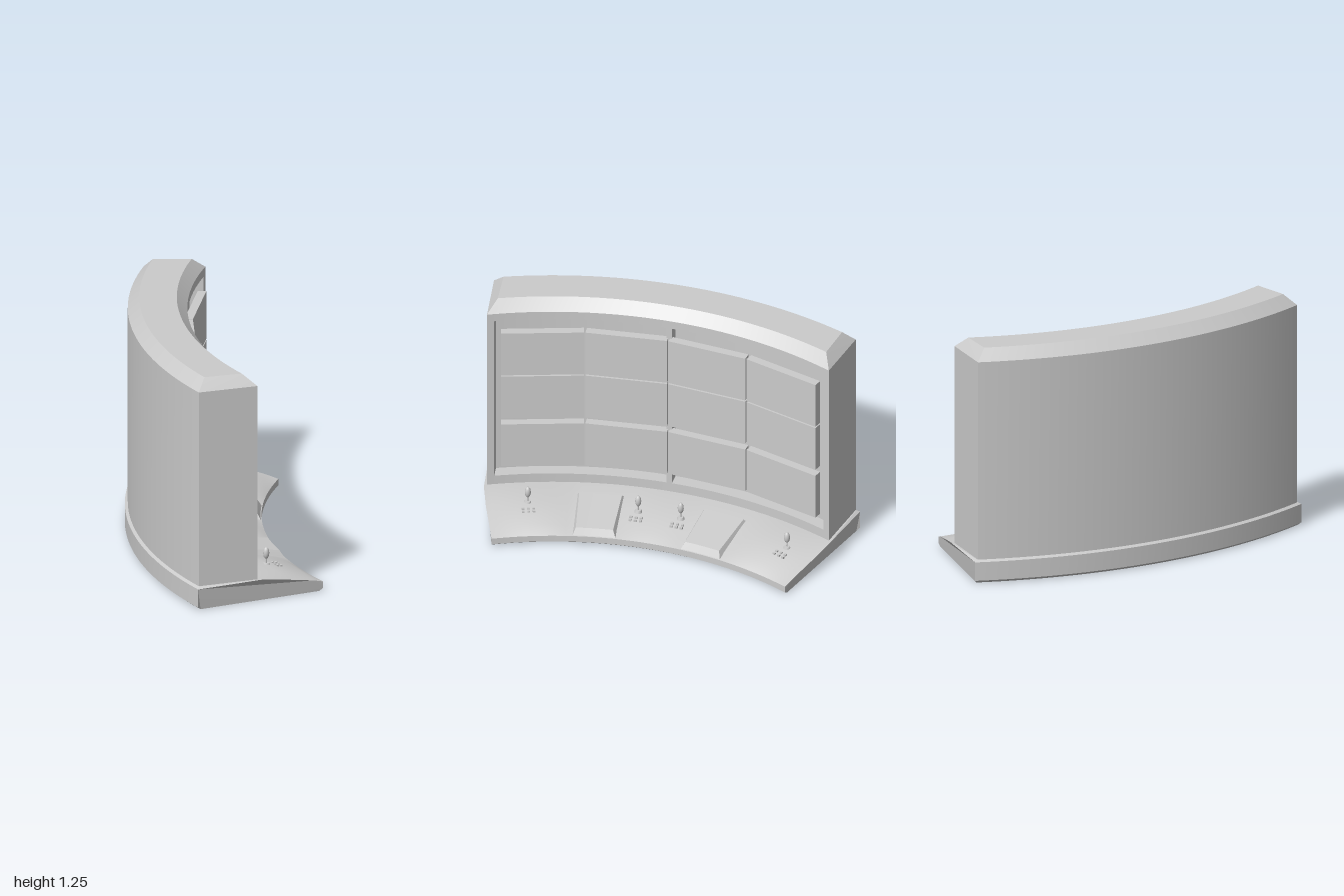
import * as THREE from 'three';
import { toCreasedNormals } from 'three/addons/utils/BufferGeometryUtils.js';

const CX = 2.04; // x of the shared arc centre
const RAD = Math.PI / 180;
const grey = new THREE.MeshStandardMaterial({ color: 0xcccccc });

// Point at radius r and angle a (radians) around the arc centre
const polar = (r, a, y) => [CX - r * Math.cos(a), y, r * Math.sin(a)];

// Swell of the desk top: one hump per end section, a lower one in the middle
function swell(u) {
  const t = Math.abs(u);
  if (t < 0.2) return 0.5 * Math.cos((t / 0.2) * Math.PI / 2);
  return t > 0.5 ? Math.sin(Math.PI * (t - 0.5) / 0.5) : 0;
}

// Sweeps a counter-clockwise profile of [r, y, halfAngle, swellHeight] along the arc
function sweep(profile, u0, u1, n, centre = 0) {
  const pos = [], idx = [], m = profile.length;
  for (let j = 0; j <= n; j++) {
    const u = u0 + (u1 - u0) * j / n;
    for (const [r, y, a, h = 0] of profile) pos.push(...polar(r, (centre + a * u) * RAD, y + h * swell(u)));
  }
  for (let j = 0; j < n; j++) {
    for (let i = 0; i < m; i++) {
      const k = (i + 1) % m;
      const a = j * m + i, b = j * m + k, c = b + m, d = a + m;
      idx.push(a, d, c, a, c, b);
    }
  }
  const flat = profile.map(([r, y]) => new THREE.Vector2(r, y));
  for (const [a, b, c] of THREE.ShapeUtils.triangulateShape(flat, [])) {
    idx.push(a, b, c, n * m + a, n * m + c, n * m + b);
  }
  const g = new THREE.BufferGeometry();
  g.setAttribute('position', new THREE.Float32BufferAttribute(pos, 3));
  g.setIndex(idx);
  return toCreasedNormals(g, 0.4);
}

export function createModel() {
  const model = new THREE.Group();
  const add = (geometry, name, parent = model) => {
    const mesh = new THREE.Mesh(geometry, grey);
    mesh.name = name;
    parent.add(mesh);
    return mesh;
  };

  // Base with the sloping control desk in front
  add(sweep([
    [2.47, 0, 23.5], [2.49, 0.015, 23.7], [2.49, 0.115, 23.7], [2.475, 0.125, 23.4],
    [2.15, 0.128, 25.8], [2.0, 0.102, 26.2, 0.022], [1.84, 0.067, 26.4, 0.02],
    [1.78, 0.05, 26.5], [1.78, 0.015, 26.5], [1.8, 0, 26.3],
  ], -1, 1, 60), 'deskBase');

  // Curved wall: recessed middle, solid end posts and chamfered cap
  const B = 2.475, F = 2.165, D = 2.235, U = 0.96;
  const half = (r) => 25.3 - 2 * (r - F) / (B - F);
  const wall = (points) => points.map(([r, y]) => [r, y, half(r)]);
  add(sweep(wall([
    [B, 0.12], [B, 1.195], [F, 1.195], [F, 1.15], [D, 1.15], [D, 0.18], [F, 0.18], [F, 0.12],
  ]), -U, U, 48), 'screenWall');
  const post = wall([[B, 0.12], [B, 1.195], [F, 1.195], [F, 0.12]]);
  add(sweep(post, -1, -U, 1), 'rightEndPost');
  add(sweep(post, U, 1, 1), 'leftEndPost');
  add(sweep([[B, 1.195, 23.3], [2.415, 1.255, 22.3], [2.22, 1.255, 23.6], [F, 1.195, 25.3]], -1, 1, 48), 'wallCap');

  // Upright behind the screens
  add(new THREE.BoxGeometry(0.07, 0.97, 0.03), 'screenUpright').position.set(CX - 2.2, 0.665, 0);

  // Flat screens, four columns by three rows
  const screens = new THREE.Group();
  screens.name = 'screens';
  model.add(screens);
  const STEP = 11.75 * RAD, R = 2.14, T = 0.045;
  const width = 2 * R * Math.sin(STEP / 2) - 0.006;
  const dist = R * Math.cos(STEP / 2) + T / 2;
  for (const y of [0.385, 0.685, 0.955]) {
    for (let c = 0; c < 4; c++) {
      const a = (c - 1.5) * STEP;
      const screen = add(new THREE.BoxGeometry(T, 0.262, width), 'screen', screens);
      screen.position.set(...polar(dist, a, y));
      screen.rotation.y = a;
    }
  }

  // Raised wedge panels on the desk
  for (const s of [-1, 1]) {
    add(sweep([
      [2.09, 0.1, 3.6], [2.07, 0.128, 3.1], [1.805, 0.088, 3.1], [1.785, 0.052, 3.6],
    ], -1, 1, 6, s * 9.3), 'deskPanel');
  }

  // Microphones with a small cluster of buttons beside each
  for (const [x, z, y] of [[0.19, -0.73, 0.119], [0.07, -0.12, 0.11], [0.07, 0.11, 0.11], [0.165, 0.68, 0.12]]) {
    const station = new THREE.Group();
    station.name = 'microphoneStation';
    station.position.set(x, y, z);
    station.rotation.y = Math.atan2(z, CX - x);
    model.add(station);
    add(new THREE.CylinderGeometry(0.016, 0.021, 0.014, 12), 'microphoneFoot', station);
    add(new THREE.CylinderGeometry(0.003, 0.004, 0.05, 8), 'microphoneStem', station).position.y = 0.025;
    const head = add(new THREE.SphereGeometry(0.016, 14, 10), 'microphoneHead', station);
    head.scale.y = 2;
    head.position.y = 0.062;
    for (let i = 0; i < 6; i++) {
      const button = add(new THREE.BoxGeometry(0.012, 0.012, 0.014), 'button', station);
      button.position.set(0.05 + (i % 2) * 0.021, -0.009 - (i % 2) * 0.004, (Math.floor(i / 2) - 1) * 0.028);
    }
  }
  return model;
}
